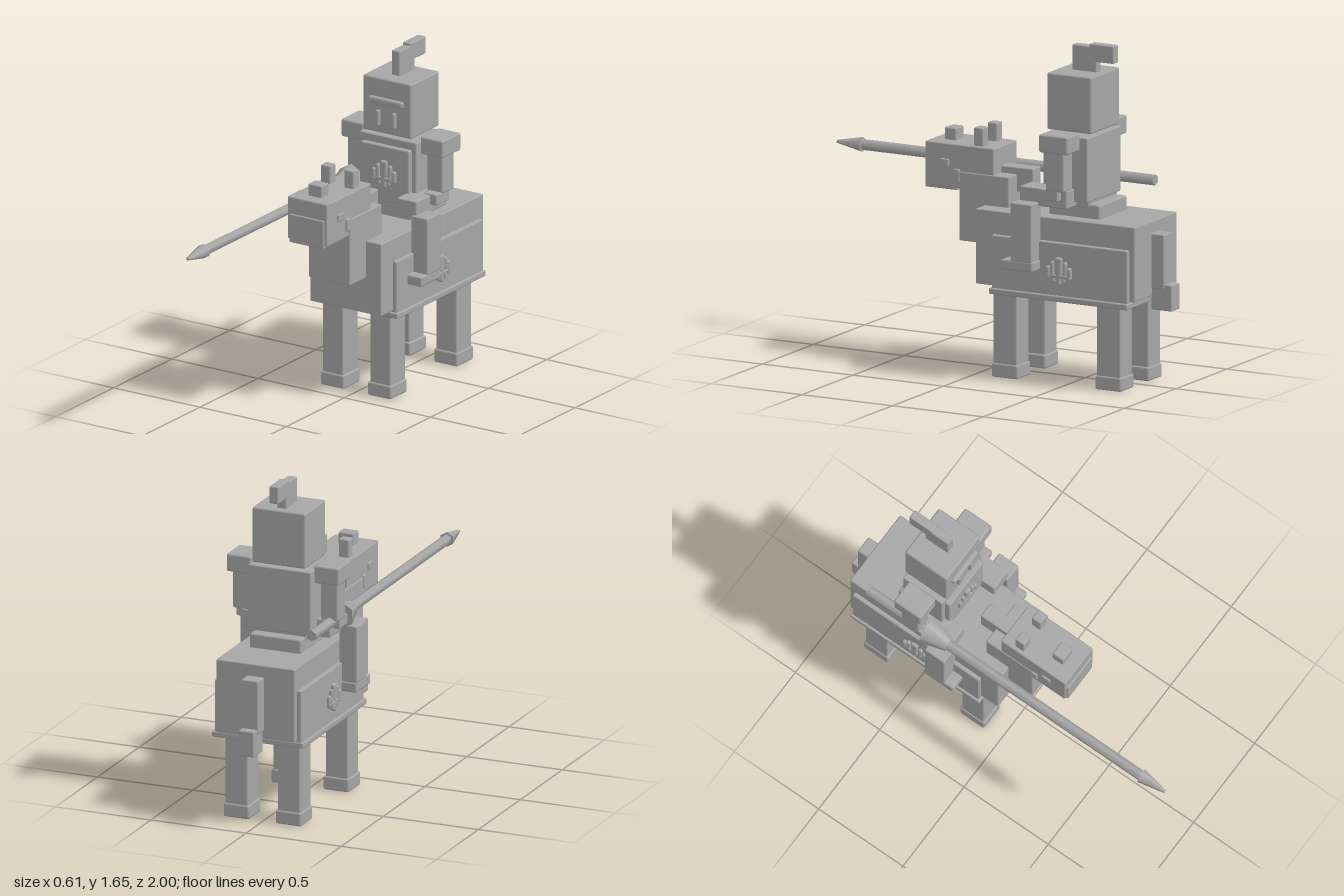
import * as THREE from 'three';
import { RoundedBoxGeometry } from 'three/addons/geometries/RoundedBoxGeometry.js';

export function createModel() {
  const model = new THREE.Group();
  model.name = 'mountedKnight';
  const stone = new THREE.MeshStandardMaterial({ color: 0xa6a6a6 });
  stone.name = 'stoneGrey';

  const group = (name, parent = model) => {
    const g = new THREE.Group();
    g.name = name;
    parent.add(g);
    return g;
  };
  // Softly bevelled block given by its extents on each axis
  const block = (parent, name, x0, x1, y0, y1, z0, z1, radius = 0.007) => {
    const w = x1 - x0, h = y1 - y0, d = z1 - z0;
    const r = Math.min(radius, 0.45 * Math.min(w, h, d));
    const mesh = new THREE.Mesh(new RoundedBoxGeometry(w, h, d, 1, r), stone);
    mesh.name = name;
    mesh.position.set((x0 + x1) / 2, (y0 + y1) / 2, (z0 + z1) / 2);
    parent.add(mesh);
    return mesh;
  };
  // Block centred on x = 0
  const mid = (parent, name, hw, ...rest) => block(parent, name, -hw, hw, ...rest);
  // Mirrored pair of blocks
  const pair = (parent, name, x0, x1, ...rest) => {
    block(parent, name + 'Left', x0, x1, ...rest);
    block(parent, name + 'Right', -x1, -x0, ...rest);
  };
  // Raised heraldic flower made of rounded bars, facing +z
  const ornament = (parent, name) => {
    const g = group(name, parent);
    const bar = (x0, x1, y0, y1) => block(g, 'petal', x0, x1, y0, y1, -0.01, 0.018, 0.011);
    bar(-0.02, 0.02, -0.015, 0.07);
    bar(-0.014, 0.014, -0.07, 0.0);
    bar(-0.05, 0.05, -0.034, -0.012);
    for (const s of [-1, 1]) {
      const petal = (a, b, y0, y1) => bar(Math.min(s * a, s * b), Math.max(s * a, s * b), y0, y1);
      petal(0.024, 0.046, -0.02, 0.05);
      petal(0.046, 0.07, -0.04, 0.025);
      petal(0.018, 0.036, -0.055, -0.025);
    }
    return g;
  };

  // Horse body, neck and head
  const horse = group('horse');
  mid(horse, 'body', 0.207, 0.45, 0.82, -0.89, -0.01);
  mid(horse, 'neck', 0.12, 0.63, 0.97, -0.145, 0.13);
  mid(horse, 'head', 0.115, 0.885, 1.1, -0.06, 0.32);
  mid(horse, 'muzzle', 0.1, 0.87, 1.015, 0.15, 0.328);
  mid(horse, 'forelock', 0.04, 1.09, 1.16, 0.19, 0.255);
  mid(horse, 'mane', 0.04, 0.885, 1.005, -0.235, -0.05);
  pair(horse, 'ear', 0.04, 0.095, 1.09, 1.19, 0.01, 0.063);
  pair(horse, 'eye', 0.105, 0.125, 0.985, 1.025, 0.185, 0.235);
  pair(horse, 'cheekStud', 0.105, 0.125, 0.915, 0.98, 0.125, 0.16);
  mid(horse, 'tailUpper', 0.045, 0.49, 0.76, -0.96, -0.88);
  mid(horse, 'tailLower', 0.04, 0.385, 0.515, -1.0, -0.885);

  // Legs and hooves
  for (const [end, zc] of [['front', -0.167], ['back', -0.738]]) {
    pair(horse, end + 'Leg', 0.078, 0.197, 0.06, 0.46, zc - 0.066, zc + 0.064);
    pair(horse, end + 'Hoof', 0.069, 0.204, 0, 0.07, zc - 0.073, zc + 0.072, 0.01);
  }

  // Blanket with hem and side ornaments
  const tack = group('tack');
  pair(tack, 'blanketSide', 0.2, 0.228, 0.435, 0.705, -0.86, -0.11);
  mid(tack, 'blanketHem', 0.24, 0.415, 0.445, -0.865, -0.1);
  mid(tack, 'saddle', 0.135, 0.81, 0.89, -0.655, -0.375, 0.01);
  for (const s of [-1, 1]) {
    const o = ornament(tack, s > 0 ? 'blanketOrnamentLeft' : 'blanketOrnamentRight');
    o.position.set(s * 0.228, 0.565, -0.485);
    o.rotation.y = s * Math.PI / 2;
  }

  // Rider's torso and legs
  const rider = group('rider');
  mid(rider, 'torso', 0.165, 0.9, 1.22, -0.605, -0.373);
  mid(rider, 'hips', 0.14, 0.87, 0.965, -0.6, -0.36);
  mid(rider, 'chestPlate', 0.14, 0.9, 1.18, -0.38, -0.346);
  ornament(rider, 'chestOrnament').position.set(0, 1.04, -0.348);
  pair(rider, 'thigh', 0.12, 0.235, 0.875, 0.965, -0.53, -0.27);
  pair(rider, 'shin', 0.212, 0.307, 0.605, 0.895, -0.375, -0.258);
  pair(rider, 'foot', 0.212, 0.307, 0.56, 0.612, -0.38, -0.207, 0.01);

  // Arms
  pair(rider, 'pauldron', 0.165, 0.295, 1.155, 1.245, -0.567, -0.408, 0.01);
  pair(rider, 'arm', 0.187, 0.275, 0.965, 1.165, -0.535, -0.435);
  pair(rider, 'hand', 0.197, 0.272, 0.915, 0.972, -0.5, -0.39);

  // Helmet, visor bars and plume
  const helmet = group('helmet', rider);
  mid(helmet, 'helmetShell', 0.14, 1.235, 1.515, -0.612, -0.365, 0.01);
  mid(helmet, 'visorBar', 0.1, 1.385, 1.42, -0.375, -0.345, 0.012);
  pair(helmet, 'breathBar', 0.036, 0.056, 1.272, 1.355, -0.375, -0.347, 0.009);
  mid(helmet, 'plumeBase', 0.024, 1.51, 1.64, -0.575, -0.44);
  mid(helmet, 'plumeTip', 0.024, 1.565, 1.653, -0.67, -0.535);

  // Lance: six-sided shaft, guard cone and tip along z
  const lance = group('lance');
  lance.position.set(-0.235, 0.955, 0);
  const rod = (name, rFront, rBack, z0, z1) => {
    const geo = new THREE.CylinderGeometry(rFront, rBack, z1 - z0, 6);
    geo.rotateX(Math.PI / 2);
    const mesh = new THREE.Mesh(geo, stone);
    mesh.name = name;
    mesh.position.z = (z0 + z1) / 2;
    lance.add(mesh);
  };
  rod('lanceShaft', 0.027, 0.027, -0.755, 0.87);
  rod('lanceGuard', 0.035, 0.072, -0.41, -0.28);
  rod('lanceTip', 0.008, 0.037, 0.86, 1.0);

  return model;
}
